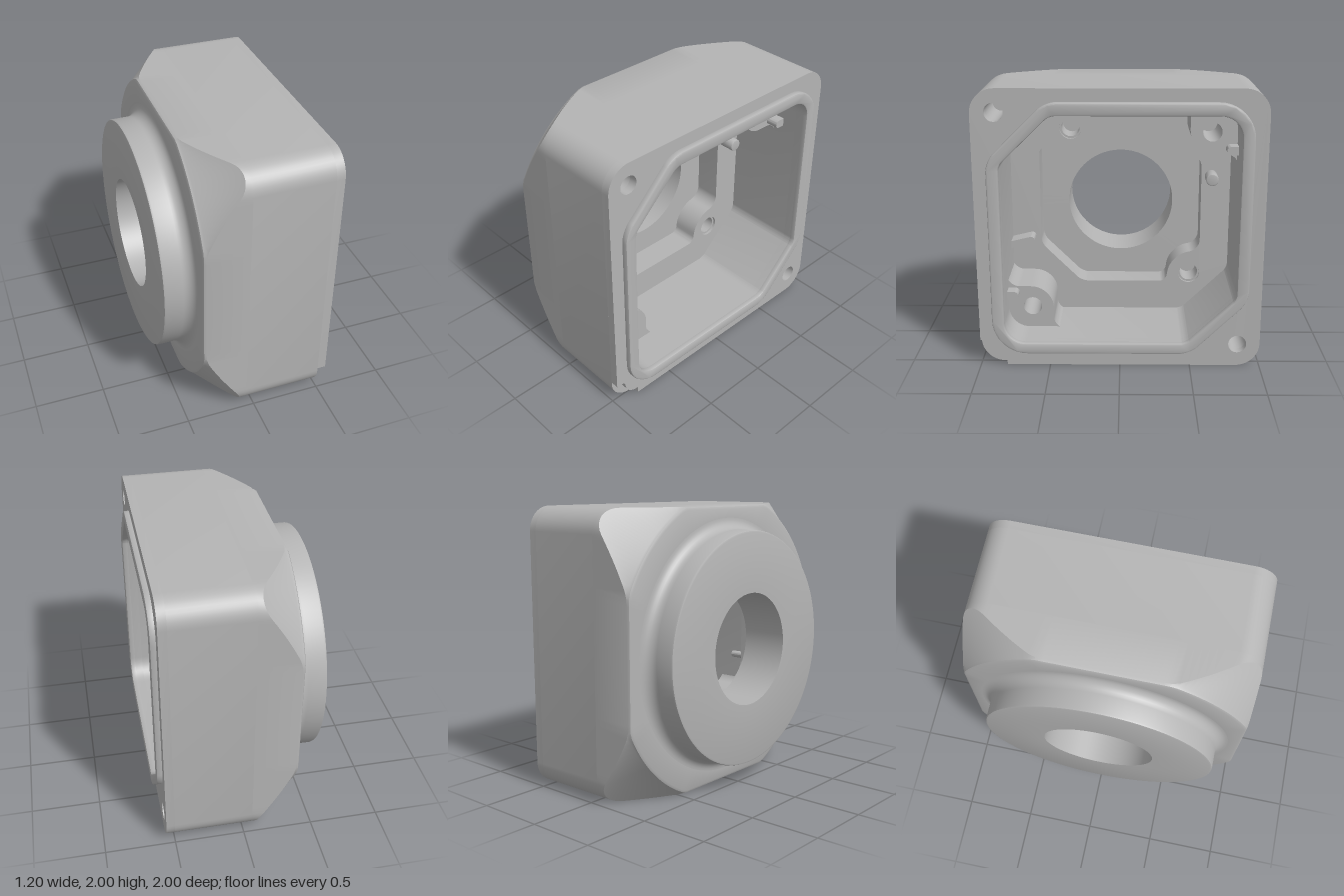
import * as THREE from 'three';
import { toCreasedNormals } from 'three/addons/utils/BufferGeometryUtils.js';

const SEG = 10;

// Outline from [u, y, cornerSize] points, where u runs along -z; corners are rounded
function outline(pts, Type = THREE.Shape) {
  const path = new Type();
  const n = pts.length;
  const toward = (p, q, d) => {
    const l = Math.hypot(q[0] - p[0], q[1] - p[1]);
    return [p[0] + (q[0] - p[0]) * d / l, p[1] + (q[1] - p[1]) * d / l];
  };
  pts.forEach((p, i) => {
    const prev = pts[(i + n - 1) % n], next = pts[(i + 1) % n], r = p[2] || 0;
    const a = toward(p, prev, r), b = toward(p, next, r);
    if (i === 0) path.moveTo(...a); else path.lineTo(...a);
    if (r) path.bezierCurveTo(...toward(p, prev, r * 0.448), ...toward(p, next, r * 0.448), ...b);
  });
  path.closePath();
  return path;
}

const circle = (u, y, r, Type = THREE.Path) => new Type().absarc(u, y, r, 0, Math.PI * 2, false);
const opposite = pts => pts.map(([u, y, r]) => [-u, 2 - y, r]);

// Plate with holes between two x positions
function plate(shape, holes, x0, x1, bevel = 0) {
  shape.holes = holes;
  const g = new THREE.ExtrudeGeometry(shape, {
    depth: x1 - x0 - 2 * bevel, curveSegments: SEG, bevelEnabled: bevel > 0,
    bevelSize: bevel, bevelThickness: bevel, bevelOffset: -bevel, bevelSegments: 2,
  });
  g.translate(0, 0, x0 + bevel).rotateY(Math.PI / 2);
  return toCreasedNormals(g, 0.5);
}

const SQUARE = [[-1, 0, 0.17], [1, 0, 0.17], [1, 2, 0.17], [-1, 2, 0.17]];
const NOTCHED = [[-0.81, 0], ...SQUARE.slice(1), [-1, 0.19], [-0.93, 0.19, 0.03], [-0.91, 0.06, 0.08], [-0.81, 0.05]];
const CAVITY = [[-0.82, 0.18, 0.15], [0.47, 0.18, 0.04], [0.82, 0.52, 0.04],
  [0.82, 1.82, 0.15], [-0.47, 1.82, 0.04], [-0.82, 1.48, 0.04]];
const LIP = [[-0.905, 0.1, 0.25], [0.5, 0.1, 0.08], [0.905, 0.5, 0.08],
  [0.905, 1.91, 0.25], [-0.5, 1.91, 0.08], [-0.905, 1.51, 0.08]];
const POCKET = [[-0.605, 0.71, 0.05], [-0.3, 0.405, 0.05], [0.35, 0.405, 0.05], [0.38, 0.62, 0.14],
  [0.605, 0.66, 0.08], [0.605, 1.36, 0.05], [0.36, 1.605, 0.05], [-0.19, 1.605, 0.06],
  [-0.27, 1.47, 0.09], [-0.605, 1.47, 0.06]];
const BOSS = [[0.43, 1.83], [0.49, 1.8, 0.05], [0.49, 1.5, 0.17], [0.8, 1.5, 0.06], [0.83, 1.43], [0.83, 1.83]];
const NUB = [[0.84, 1.51], [0.74, 1.51, 0.029], [0.74, 1.57, 0.029], [0.84, 1.57]];
const RIB = [[-0.84, 0.71], [-0.64, 0.76, 0.03], [-0.65, 0.81, 0.03], [-0.84, 0.765]];

// Rear of the housing: square section trimmed by a cone at the corners, with a soft back edge
function rearGeometry() {
  const coarse = outline(SQUARE).getPoints(SEG);
  const pts = [];
  coarse.forEach((p, i) => {
    const q = coarse[(i + 1) % coarse.length];
    const len = p.distanceTo(q);
    if (len < 1e-6) return;
    const steps = Math.ceil(len / 0.05);
    for (let k = 0; k < steps; k++) pts.push(p.clone().lerp(q, k / steps));
  });
  const slope = 1.07, edgeX = -0.36, coneR = 1.1;
  const rows = 6, pos = [], idx = [];
  for (const p of pts) {
    const v = p.y - 1, r = Math.hypot(p.x, v), e = Math.min(r, coneR);
    const profile = [
      [-0.06, r],
      [Math.max(edgeX, edgeX + (r - coneR) * slope), r],
      [edgeX, e], [-0.377, e - 0.008], [-0.385, e - 0.025], [-0.385, 0.9],
    ];
    for (const [x, d] of profile) pos.push(x, 1 + v * d / r, -p.x * d / r);
  }
  const n = pts.length;
  for (let i = 0; i < n; i++) {
    for (let j = 0; j < rows - 1; j++) {
      const a = i * rows + j, b = ((i + 1) % n) * rows + j;
      idx.push(a, a + 1, b, b, a + 1, b + 1);
    }
  }
  const g = new THREE.BufferGeometry();
  g.setAttribute('position', new THREE.Float32BufferAttribute(pos, 3));
  g.setIndex(idx);
  return toCreasedNormals(g, 0.5);
}

// Round neck with bore, pocket floor and a fillet into the housing
function neckGeometry() {
  const p = [[0.86, -0.26], [0.4, -0.26], [0.4, -0.6], [0.82, -0.6], [0.831, -0.596], [0.835, -0.585]];
  for (let i = 0; i <= 8; i++) {
    const t = i / 8 * Math.PI / 2;
    p.push([0.915 - 0.08 * Math.cos(t), -0.465 + 0.08 * Math.sin(t)]);
  }
  const g = new THREE.LatheGeometry(p.map(q => new THREE.Vector2(...q)), 96);
  g.rotateZ(-Math.PI / 2).translate(0, 1, 0);
  return toCreasedNormals(g, 0.5);
}

export function createModel() {
  const group = new THREE.Group();
  const grey = new THREE.MeshStandardMaterial({ color: 0xb4b4b4 });
  grey.name = 'grey';
  const add = (name, geometry) => {
    const m = new THREE.Mesh(geometry, grey);
    m.name = name;
    group.add(m);
  };

  const screws = [[-0.84, 1.84], [0.84, 0.165]];
  const seats = [[-0.37, 1.61], [0.525, 0.477]];
  const frameHoles = () => [outline(CAVITY, THREE.Path), ...screws.map(s => circle(...s, 0.065))];

  // Outer shell
  add('rearHousing', rearGeometry());
  add('neck', neckGeometry());
  add('housingWall', plate(outline(SQUARE), frameHoles(), -0.06, 0.5));
  add('notchedRim', plate(outline(NOTCHED), frameHoles(), 0.5, 0.56));
  add('sealingLip', plate(outline(LIP), [outline(CAVITY, THREE.Path)], 0.548, 0.6, 0.012));
  for (const s of screws) add('screwHoleBottom', plate(circle(...s, 0.07, THREE.Shape), [], 0.05, 0.15));

  // Stepped floor around the pocket, with two recessed seats
  const shelf = CAVITY.map(([u, y, r]) => [u * 1.02, 1 + (y - 1) * 1.02, r]);
  add('shelf', plate(outline(shelf),
    [outline(POCKET, THREE.Path), ...seats.map(s => circle(...s, 0.083))], -0.26, -0.06));
  for (const s of seats) {
    add('seatRing', plate(circle(...s, 0.084, THREE.Shape), [circle(...s, 0.068)], -0.26, -0.08));
  }

  // Corner bosses with holes and locating nubs
  for (const flip of [p => p, opposite]) {
    const [hole] = flip([[0.645, 1.655, 0.068]]);
    add('cornerBoss', plate(outline(flip(BOSS)), [circle(...hole)], -0.06, 0.3));
    add('nub', plate(outline(flip(NUB)), [], 0.28, 0.39));
  }

  // Small features on the shelf
  add('locatingPin', plate(circle(0.677, 1.245, 0.047, THREE.Shape), [], -0.07, 0.06, 0.008));
  add('rib', plate(outline(RIB), [], -0.07, 0.07));
  return group;
}
